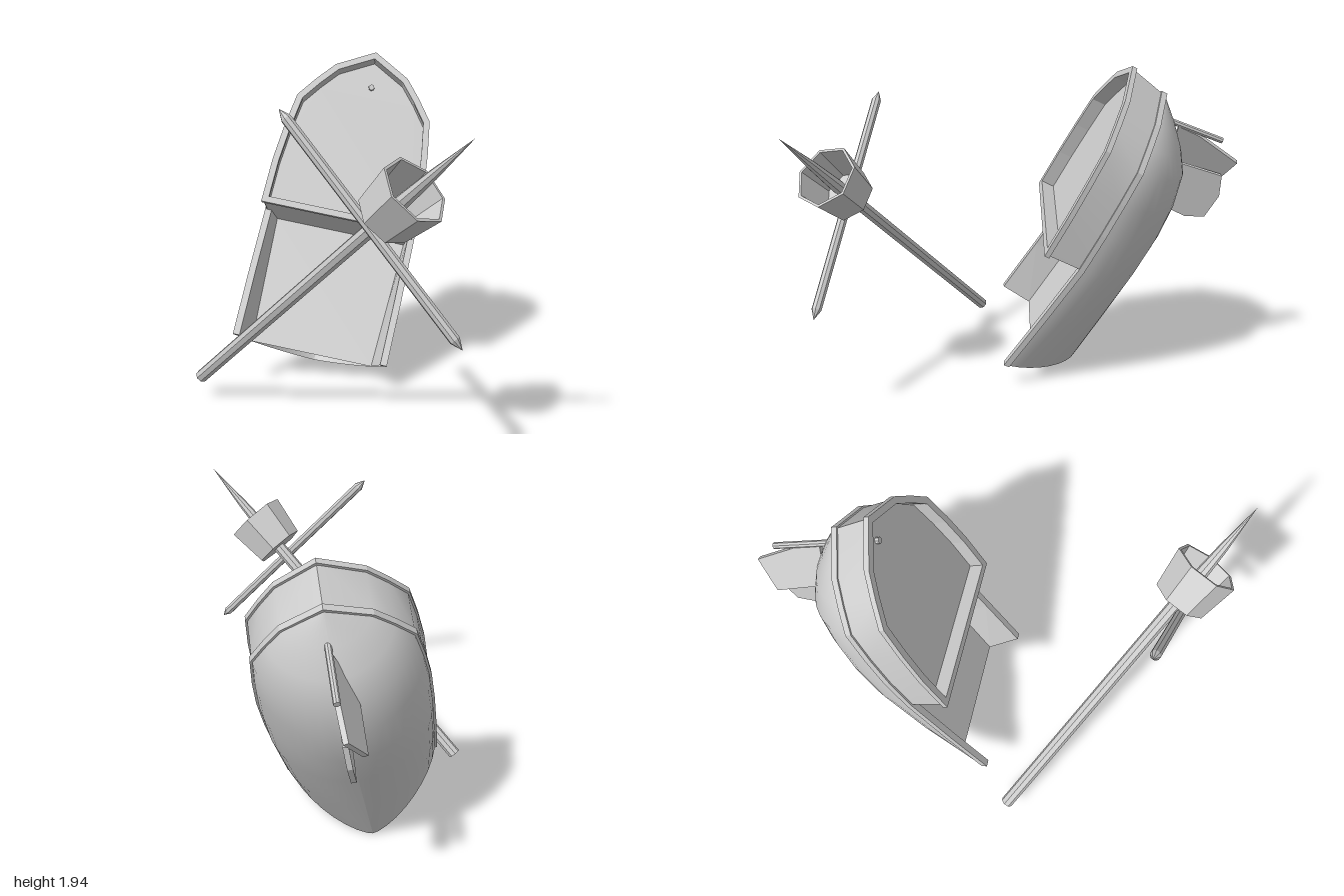
import * as THREE from 'three';

const flat = new THREE.MeshStandardMaterial({ color: 0xcccccc, flatShading: true, side: THREE.DoubleSide });
const smooth = new THREE.MeshStandardMaterial({ color: 0xcccccc, side: THREE.DoubleSide });
const V = (x, y, z) => new THREE.Vector3(x, y, z);

function add(parent, name, geometry, material = flat) {
  const mesh = new THREE.Mesh(geometry, material);
  mesh.name = name;
  parent.add(mesh);
  return mesh;
}

// Skin over rows of points
function loft(rows, closed = false) {
  const n = rows[0].length, index = [];
  for (let i = 0; i < rows.length - 1; i++) {
    for (let j = 0; j < (closed ? n : n - 1); j++) {
      const k = (j + 1) % n, a = i * n + j, b = i * n + k, c = a + n, d = b + n;
      index.push(a, c, b, b, c, d);
    }
  }
  const g = new THREE.BufferGeometry().setFromPoints(rows.flat());
  g.setIndex(index);
  g.computeVertexNormals();
  return g;
}

// Rectangular strip following a path: o0..o1 sideways, z0..z1 in height
function strip(path, closed, o0, o1, z0, z1) {
  const n = path.length, rows = [];
  const dir = (i, j) => V(path[j].x - path[i].x, path[j].y - path[i].y, 0).normalize();
  path.forEach((p, i) => {
    const before = i > 0 || closed ? dir((i + n - 1) % n, i) : dir(0, 1);
    const after = i < n - 1 || closed ? dir(i, (i + 1) % n) : before;
    const t = before.clone().add(after).normalize();
    const miter = 1 / Math.max(0.4, t.dot(after));
    const at = (o, z) => V(p.x + t.y * o * miter, p.y - t.x * o * miter, p.z + z);
    rows.push([at(o0, z1), at(o1, z1), at(o1, z0), at(o0, z0)]);
  });
  if (closed) rows.push(rows[0]);
  else {
    // close both ends
    const cap = r => r.map(() => r[0].clone().lerp(r[2], 0.5));
    rows.unshift(cap(rows[0]));
    rows.push(cap(rows[rows.length - 1]));
  }
  return loft(rows, true);
}

// Turned piece standing on point a and aimed at point b
function turned(parent, name, profile, sides, a, b) {
  const g = new THREE.LatheGeometry(profile.map(p => new THREE.Vector2(...p)), sides);
  const mesh = add(parent, name, g);
  mesh.position.copy(a);
  mesh.quaternion.setFromUnitVectors(V(0, 1, 0), b.clone().sub(a).normalize());
}

function rod(parent, name, a, b, r, tip = 0) {
  const l = a.distanceTo(b);
  turned(parent, name, [[0, 0], [r, tip], [r, l - tip], [0, l]], 8, a, b);
}

// Upright plate under the keel, swung about a hinge at y = hinge
function plate(parent, name, outline, hinge, angle) {
  const g = new THREE.ExtrudeGeometry(new THREE.Shape(outline.map(p => new THREE.Vector2(p[0] - hinge, p[1]))),
    { depth: 0.028, bevelEnabled: false });
  g.translate(0, 0, -0.014);
  g.applyMatrix4(new THREE.Matrix4().makeBasis(V(0, 1, 0), V(0, 0, 1), V(1, 0, 0)));
  add(parent, name, g.rotateZ(angle).translate(0, hinge, 0));
}

// Boat in its own frame: x across, y along towards the bow, z up from the deck
function buildBoat() {
  const boat = new THREE.Group();
  boat.name = 'boat';

  // Stations: position along, half width, rail depth, keel depth, bilge sharpness
  const stations = [
    [-0.80, 0.455, 0.152, 0.67, 1.4],
    [-0.40, 0.46, 0.19, 0.67, 1.15],
    [0, 0.46, 0.225, 0.67, 1.02],
    [0.25, 0.455, 0.225, 0.67, 1.05],
    [0.46, 0.435, 0.225, 0.65, 1.1],
    [0.66, 0.405, 0.225, 0.59, 1.1],
    [0.78, 0.315, 0.225, 0.50, 1.1],
    [0.89, 0.22, 0.225, 0.39, 1.1],
    [1.01, 0, 0.23, 0.25, 1.1],
  ];
  const mirrored = list => [...list, ...list.slice(0, -1).reverse().map(p => V(-p.x, p.y, p.z))];

  // One half per side so the keel and stem stay creased
  for (const side of [1, -1]) {
    const rows = stations.map(([y, w, rail, keel, p]) => Array.from({ length: 11 }, (_, i) => {
      const t = i / 10 * Math.PI / 2;
      const c = i === 10 ? 0 : Math.cos(t);
      return V(side * w * c ** p, y, -rail - (keel - rail) * Math.sin(t) ** p);
    }));
    add(boat, side > 0 ? 'leftHull' : 'rightHull', loft(rows), smooth);

    // Planking between side rail and raised rim
    const planks = stations.slice(2).map(([y, w, rail]) => [V(side * w, y * 1.05, 0), V(side * w, y, -rail)]);
    add(boat, 'raisedPlanking', loft(planks), smooth);

    // Inner face of the low bulwark
    const inner = stations.slice(0, 3).map(([y, w, rail]) =>
      [V(side * (w - 0.03), y, -rail), V(side * (0.41 + y * 0.048), y, -0.41 - y * 0.0875)]);
    add(boat, 'lowBulwark', loft(inner));
  }

  // Moulded rail all the way round the bow
  const railPath = mirrored(stations.map(([y, w, rail]) => V(w, y, -rail)));
  add(boat, 'sideRail', strip(railPath, false, -0.03, 0.01, -0.03, 0.005));

  // Raised deck: inner wall, rim and floor
  const rimPath = mirrored(stations.slice(2).map(([y, w]) => V(w, y * 1.05, 0)));
  add(boat, 'raisedWall', strip(rimPath, true, -0.026, -0.02, -0.085, -0.005));
  add(boat, 'raisedRim', strip(rimPath, true, -0.028, 0.01, -0.03, 0));
  const floor = new THREE.ShapeGeometry(new THREE.Shape(rimPath.map(p => new THREE.Vector2(p.x * 0.96, p.y * 0.975))));
  add(boat, 'raisedDeck', floor.translate(0, 0, -0.085));

  // Step down to the low deck, narrowing with the hull
  add(boat, 'stepWall', loft([[0.46, 0], [0.455, -0.225], [0.41, -0.41]].map(([x, z]) => [V(-x, 0, z), V(x, 0, z)])));
  add(boat, 'lowDeck', loft([
    [V(-0.372, -0.8, -0.34), V(0.372, -0.8, -0.34)],
    [V(-0.41, 0, -0.41), V(0.41, 0, -0.41)],
  ]));

  // Stock through deck and hull, with the turned rudder and the fixed skeg
  rod(boat, 'rudderStock', V(0, 0.92, -0.70), V(0.015, 0.865, -0.065), 0.018);
  plate(boat, 'rudder', [[0.89, -0.42], [0.894, -0.56], [0.84, -0.86], [0.63, -0.84], [0.64, -0.5]], 0.87, -0.35);
  plate(boat, 'skeg', [[0.68, -0.5], [0.73, -0.82], [0.61, -0.88], [0.45, -0.876], [0.40, -0.765], [0.40, -0.6]], 0.4, 0);

  // Pose: bow pitched up and rolled
  const across = V(0.829, -0.196, -0.523).normalize();
  const up = across.clone().cross(V(-0.104, 0.873, -0.477)).normalize();
  const along = up.clone().cross(across);
  boat.quaternion.setFromRotationMatrix(new THREE.Matrix4().makeBasis(across, along, up));
  boat.position.set(-0.405, 1.006, 0.03);
  return boat;
}

// Fallen mast with lookout basket and yard
function buildMast() {
  const mast = new THREE.Group();
  mast.name = 'mast';
  const foot = V(-0.84, 0.125, 0.77), tip = V(0.995, 1.66, 0.78);
  const at = t => foot.clone().lerp(tip, t);
  const length = foot.distanceTo(tip);
  rod(mast, 'pole', foot, at(0.78), 0.037);
  turned(mast, 'spike', [[0, 0], [0.04, 0], [0.026, length * 0.11], [0, length * 0.23]], 8, at(0.77), tip);
  turned(mast, 'basket', [[0, 0], [0.155, 0], [0.188, 0.24], [0.172, 0.24], [0.14, 0.015], [0, 0.015]],
    7, at(0.725), tip);
  rod(mast, 'yard', V(-0.015, 1.74, 0.945), V(0.905, 0.64, 0.715), 0.028, 0.06);
  return mast;
}

export function createModel() {
  const model = new THREE.Group();
  model.name = 'wreck';
  model.add(buildBoat(), buildMast());
  return model;
}
